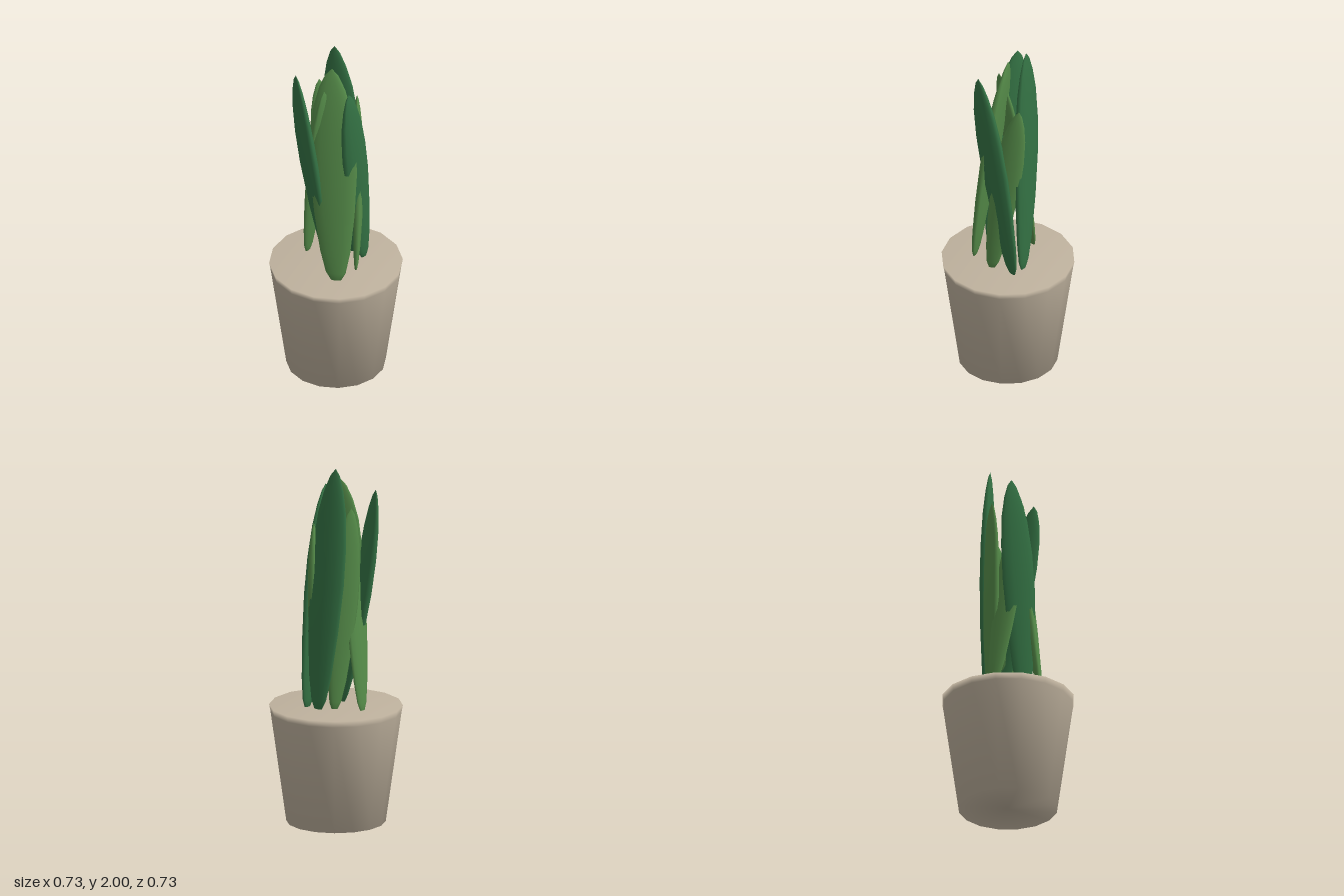
import * as THREE from 'three';

const paint = (name, color) => {
  const m = new THREE.MeshStandardMaterial({ color });
  m.name = name;
  return m;
};

const lathe = (points, sides) =>
  new THREE.LatheGeometry(points.map(([r, y]) => new THREE.Vector2(r, y)), sides);

// Unit leaf outline: half-width against height
const LEAF = [[0, 0], [0.22, 0.005], [0.42, 0.04], [0.64, 0.14], [0.86, 0.32], [1, 0.52],
  [0.97, 0.68], [0.8, 0.82], [0.55, 0.91], [0.28, 0.97], [0, 1]];

// Flattened leaf running from base to tip, its broad side facing (nx, nz)
function leaf(base, tip, [nx, nz], width, thickness, bow) {
  const geometry = lathe(LEAF, 12);
  const start = new THREE.Vector3(...base);
  const axis = new THREE.Vector3(...tip).sub(start);
  const normal = new THREE.Vector3(nx, 0, nz).normalize();
  const across = new THREE.Vector3(0, 1, 0).cross(normal);
  geometry.applyMatrix4(new THREE.Matrix4()
    .makeBasis(across.clone().multiplyScalar(width / 2), axis, normal.clone().multiplyScalar(thickness / 2))
    .setPosition(start));
  // Gentle outward bow along the length
  const p = geometry.attributes.position;
  for (let i = 0; i < p.count; i++) {
    const t = (p.getY(i) - base[1]) / axis.y;
    const d = bow * 4 * t * (1 - t);
    p.setXYZ(i, p.getX(i) + normal.x * d, p.getY(i), p.getZ(i) + normal.z * d);
  }
  return geometry;
}

export function createModel() {
  const group = new THREE.Group();
  const clay = paint('clay', 0xbfb29e);
  const light = paint('lightGreen', 0x568d4a);
  const dark = paint('darkGreen', 0x347244);
  const add = (name, geometry, material) => {
    const mesh = new THREE.Mesh(geometry, material);
    mesh.name = name;
    group.add(mesh);
  };

  // Tapered pot with a filled top and softly shaded rim
  add('pot', lathe([[0, 0], [0.27, 0], [0.356, 0.615], [0.363, 0.65], [0, 0.65]], 16), clay);

  // Leaves: base, tip, facing, width, thickness, bow
  const leaves = [
    ['frontLeaf', light, [0.06, 0.645, 0.17], [-0.02, 1.92, 0.01], [0.15, 1], 0.26, 0.07, 0.01],
    ['rightFrontLeaf', dark, [0.0, 0.645, 0.085], [-0.21, 1.865, 0.06], [-0.75, 0.75], 0.21, 0.07, 0.015],
    ['leftFrontLeaf', dark, [0.125, 0.645, -0.1], [0.115, 1.85, 0.12], [1, 0.3], 0.2, 0.07, 0],
    ['leftBackLeaf', light, [0.125, 0.645, 0.03], [0.08, 1.69, -0.115], [1, -0.3], 0.16, 0.06, 0.01],
    ['backLeaf', dark, [0.05, 0.645, -0.125], [-0.04, 2, -0.09], [0.05, -1], 0.21, 0.065, 0.01],
    ['rightBackLeaf', light, [-0.03, 0.645, -0.085], [-0.12, 1.78, -0.065], [-0.65, -0.75], 0.16, 0.06, 0.01],
    ['rightLeaf', light, [-0.18, 0.645, -0.05], [-0.04, 1.81, 0.08], [-1, -0.35], 0.16, 0.055, 0],
  ];
  for (const [name, material, ...shape] of leaves) add(name, leaf(...shape), material);

  return group;
}
